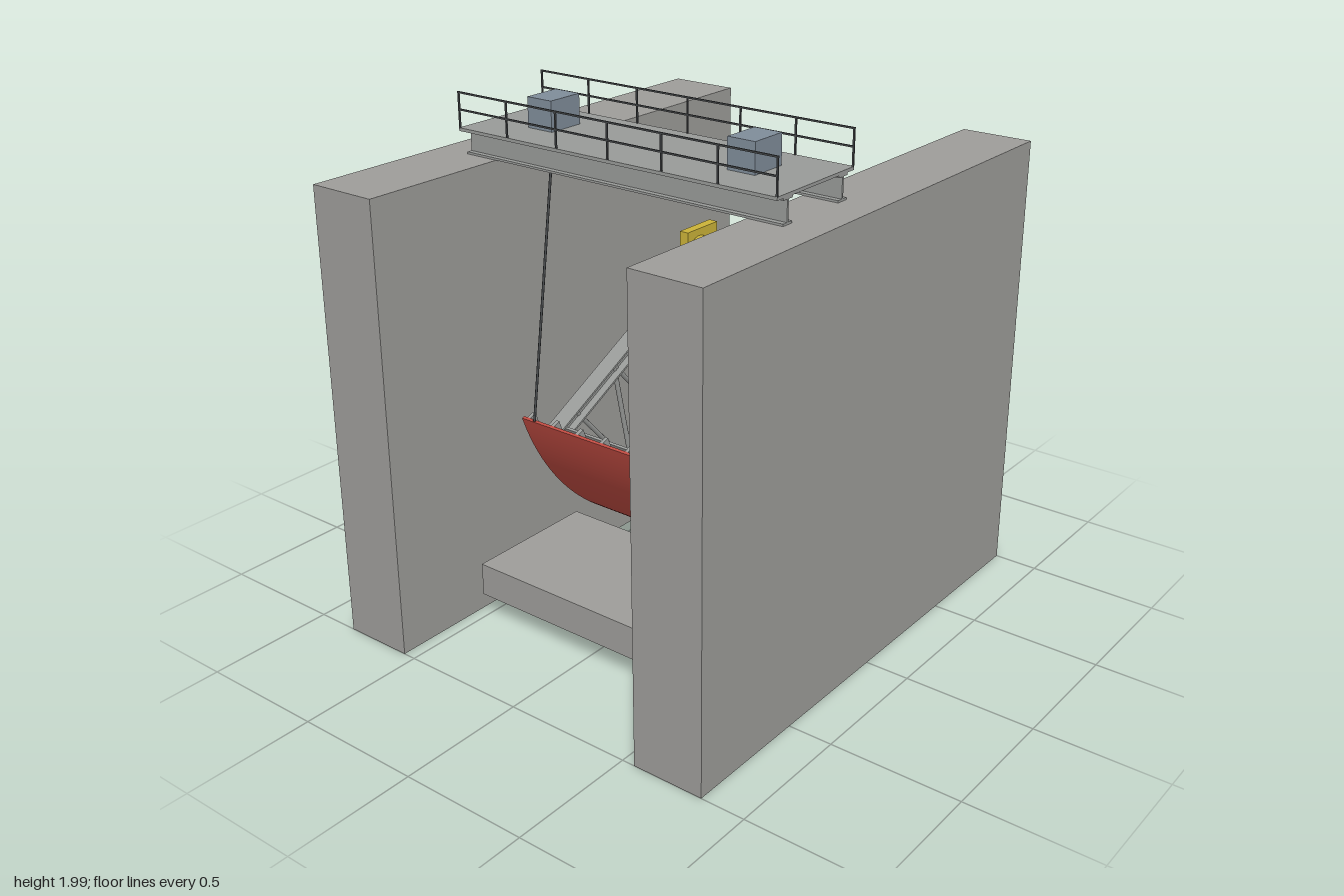
import * as THREE from 'three';
import { toCreasedNormals } from 'three/addons/utils/BufferGeometryUtils.js';

const material = (name, color) => {
  const m = new THREE.MeshStandardMaterial({ color });
  m.name = name;
  return m;
};
const rad = THREE.MathUtils.degToRad;

export function createModel() {
  const concrete = material('concrete', 0x9d9c99);
  const steel = material('steel', 0x989a98);
  const red = material('gate red', 0xbf4b41);
  const gold = material('bearing yellow', 0xcab238);
  const blue = material('hoist blue grey', 0x7f8c99);
  const dark = material('dark steel', 0x45484a);

  const model = new THREE.Group();
  model.name = 'radialGate';

  const add = (parent, name, geometry, mat, x = 0, y = 0, z = 0) => {
    const mesh = new THREE.Mesh(geometry, mat);
    mesh.name = name;
    mesh.position.set(x, y, z);
    parent.add(mesh);
    return mesh;
  };
  const box = (parent, name, mat, size, pos) =>
    add(parent, name, new THREE.BoxGeometry(...size), mat, ...pos);
  // Round bar between two points
  const rod = (parent, name, mat, a, b, r) => {
    const from = new THREE.Vector3(...a), to = new THREE.Vector3(...b);
    const dir = to.clone().sub(from);
    const mesh = add(parent, name, new THREE.CylinderGeometry(r, r, dir.length(), 8), mat);
    mesh.position.copy(from).add(to).multiplyScalar(0.5);
    mesh.quaternion.setFromUnitVectors(new THREE.Vector3(0, 1, 0), dir.normalize());
  };

  // Piers and sill
  for (const s of [-1, 1]) box(model, 'pier', concrete, [2, 1.75, 0.28], [0, 0.875, s * 0.69]);
  box(model, 'sill', concrete, [0.54, 0.13, 1], [-0.36, 0.165, 0]);

  // Gate, built around the trunnion axis
  const gate = new THREE.Group();
  gate.name = 'gate';
  gate.position.set(0.685, 1.13, 0);
  model.add(gate);

  const arcPlate = (inner, outer, width) => {
    const a = Math.PI + rad(20), b = Math.PI + rad(65);
    const shape = new THREE.Shape();
    shape.absarc(0, 0, outer, a, b, false);
    shape.absarc(0, 0, inner, b, a, true);
    const g = new THREE.ExtrudeGeometry(shape, { depth: width, bevelEnabled: false, curveSegments: 32 });
    g.translate(0, 0, -width / 2);
    return toCreasedNormals(g, rad(30));
  };
  add(gate, 'skinPlate', arcPlate(1.115, 1.127, 1.01), red);
  const ribGeometry = arcPlate(1.083, 1.116, 0.015);
  for (let i = -4; i <= 4; i++) add(gate, 'rib', ribGeometry, steel, 0, 0, i * 0.12);

  // Group whose local x axis points outward from the trunnion
  const radial = (name, angle, z) => {
    const g = new THREE.Group();
    g.name = name;
    g.rotation.z = Math.PI + rad(angle);
    g.position.z = z;
    gate.add(g);
    return g;
  };

  // Horizontal I-beams behind the skin
  for (const angle of [27, 42.5, 58]) {
    const beam = radial('horizontalBeam', angle, 0);
    box(beam, 'innerFlange', steel, [0.01, 0.04, 0.94], [1.025, 0, 0]);
    box(beam, 'outerFlange', steel, [0.01, 0.04, 0.94], [1.085, 0, 0]);
    box(beam, 'web', steel, [0.06, 0.01, 0.94], [1.055, 0, 0]);
  }

  // Arms, bracing and trunnions on both sides
  const onArm = (angle, r, z) => [-r * Math.cos(rad(angle)), -r * Math.sin(rad(angle)), z];
  for (const s of [-1, 1]) {
    const z = s * 0.44;
    for (const angle of [27, 58]) {
      const arm = radial('arm', angle, z);
      for (const side of [-1, 1])
        box(arm, 'armFlange', steel, [1.03, 0.008, 0.072], [0.535, side * 0.026, 0]);
      box(arm, 'armWeb', steel, [1.03, 0.05, 0.01], [0.535, 0, 0]);
    }
    const nodes = [0.36, 0.67, 0.93];
    nodes.forEach((r, i) => {
      rod(gate, 'strut', steel, onArm(27, r, z), onArm(58, r, z), 0.01);
      if (i < 2) rod(gate, 'diagonal', steel, onArm(27, r, z), onArm(58, nodes[i + 1], z), 0.01);
    });
    const hub = add(gate, 'trunnionHub', new THREE.CylinderGeometry(0.07, 0.07, 0.07, 32), gold, 0, 0, z);
    hub.rotation.x = Math.PI / 2;
    box(gate, 'trunnionPlate', gold, [0.2, 0.2, 0.042], [0.025, 0, s * 0.495]);
  }

  // Service bridge
  const bridge = new THREE.Group();
  bridge.name = 'bridge';
  model.add(bridge);
  box(bridge, 'deck', steel, [0.44, 0.012, 1.38], [-0.22, 1.848, 0]);
  for (const x of [-0.38, -0.065]) {
    box(bridge, 'girderWeb', steel, [0.008, 0.092, 1.38], [x, 1.796, 0]);
    for (const y of [1.754, 1.838]) box(bridge, 'girderFlange', steel, [0.05, 0.008, 1.38], [x, y, 0]);
  }

  // Railings
  for (const x of [-0.437, -0.003]) {
    for (let i = -3; i <= 3; i++) box(bridge, 'railPost', dark, [0.006, 0.134, 0.006], [x, 1.918, i * 0.229]);
    for (const y of [1.92, 1.982]) box(bridge, 'handrail', dark, [0.006, 0.006, 1.38], [x, y, 0]);
  }

  // Hoists and lifting cables
  for (const s of [-1, 1]) {
    box(bridge, 'hoist', blue, [0.15, 0.112, 0.112], [-0.213, 1.91, s * 0.44]);
    rod(model, 'cable', dark, [-0.215, 1.86, s * 0.44], [-0.375, 0.75, s * 0.44], 0.005);
  }
  return model;
}
